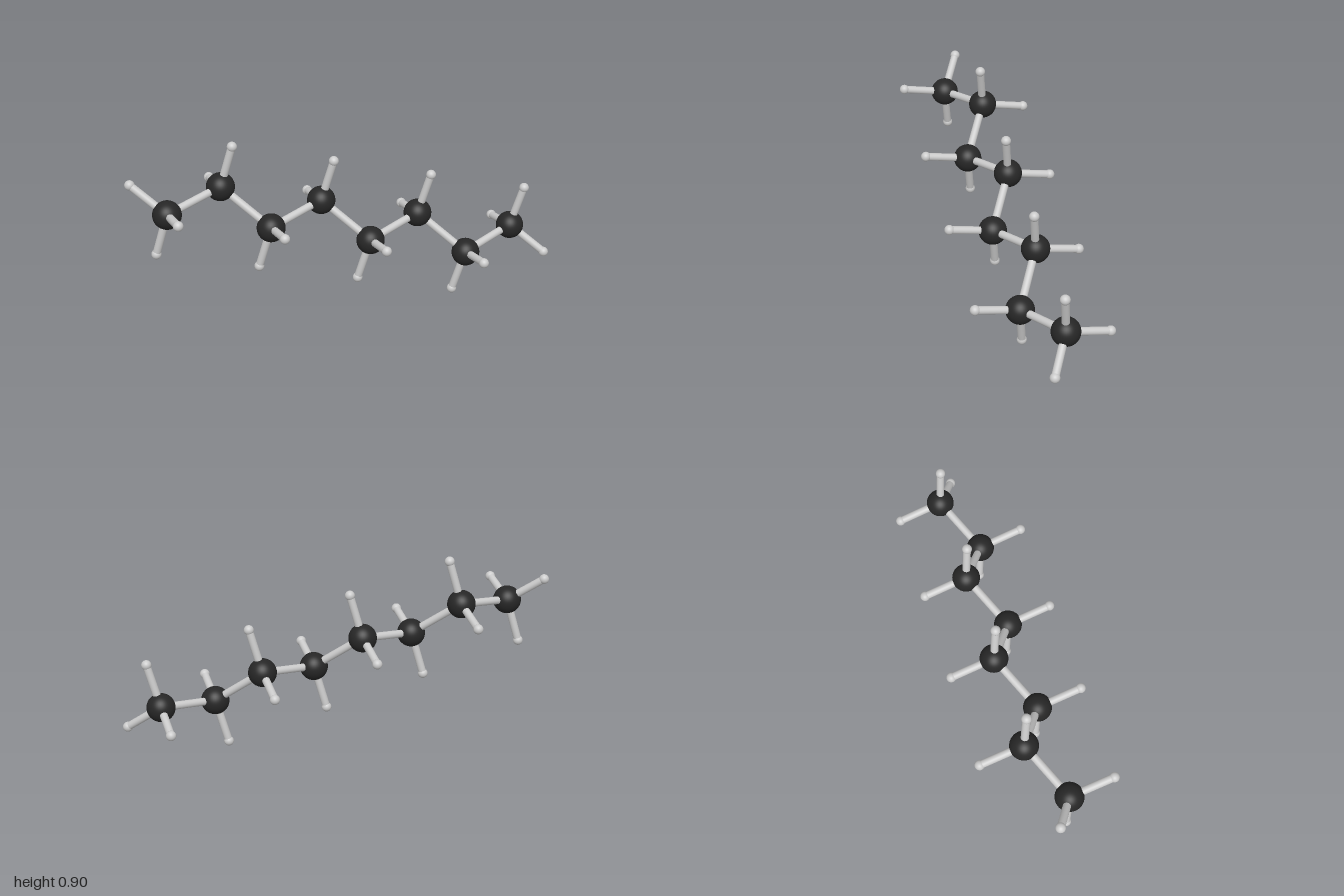
import * as THREE from 'three';

const V = (x, y, z) => new THREE.Vector3(x, y, z);
const UP = V(0, 1, 0);

export function createModel() {
  const model = new THREE.Group();
  const grey = new THREE.MeshStandardMaterial({ color: 0xcccccc });
  const black = new THREE.MeshStandardMaterial({ color: 0x262626 });

  const largeBall = new THREE.SphereGeometry(0.067, 40, 24);
  const smallBall = new THREE.SphereGeometry(0.0235, 24, 16);
  const rodGeometry = new THREE.CylinderGeometry(0.0185, 0.0185, 1, 24);

  function ball(name, geometry, material, position) {
    const mesh = new THREE.Mesh(geometry, material);
    mesh.name = name;
    mesh.position.copy(position);
    model.add(mesh);
  }

  // Unit rod stretched between two atom centres
  function rod(name, a, b) {
    const mesh = new THREE.Mesh(rodGeometry, grey);
    const dir = b.clone().sub(a);
    mesh.name = name;
    mesh.position.copy(a).add(b).multiplyScalar(0.5);
    mesh.scale.y = dir.length();
    mesh.quaternion.setFromUnitVectors(UP, dir.normalize());
    model.add(mesh);
  }

  // Zigzag chain of eight carbons: two alternating rows sharing one step
  const starts = [V(-0.849, 0.624, -0.098), V(-0.558, 0.67, -0.174)];
  const step = V(0.469, -0.13, 0.0907);
  const carbons = Array.from({ length: 8 }, (_, i) =>
    starts[i % 2].clone().addScaledVector(step, Math.floor(i / 2)));

  // Hydrogen directions on the upper row; the lower row uses their opposites
  const sideOffsets = [V(0.05, 0.207, 0.035), V(0.023, -0.048, -0.212)];
  const endOffset = V(0.129, -0.124, 0.119);

  carbons.forEach((c, i) => {
    ball('carbon', largeBall, black, c);
    if (i > 0) rod('carbonBond', carbons[i - 1], c);
    const sign = i % 2 ? 1 : -1;
    const isEnd = i === 0 || i === carbons.length - 1;
    const offsets = isEnd ? [...sideOffsets, endOffset] : sideOffsets;
    for (const offset of offsets) {
      const h = c.clone().addScaledVector(offset, sign);
      rod('hydrogenBond', c, h);
      ball('hydrogen', smallBall, grey, h);
    }
  });

  return model;
}
